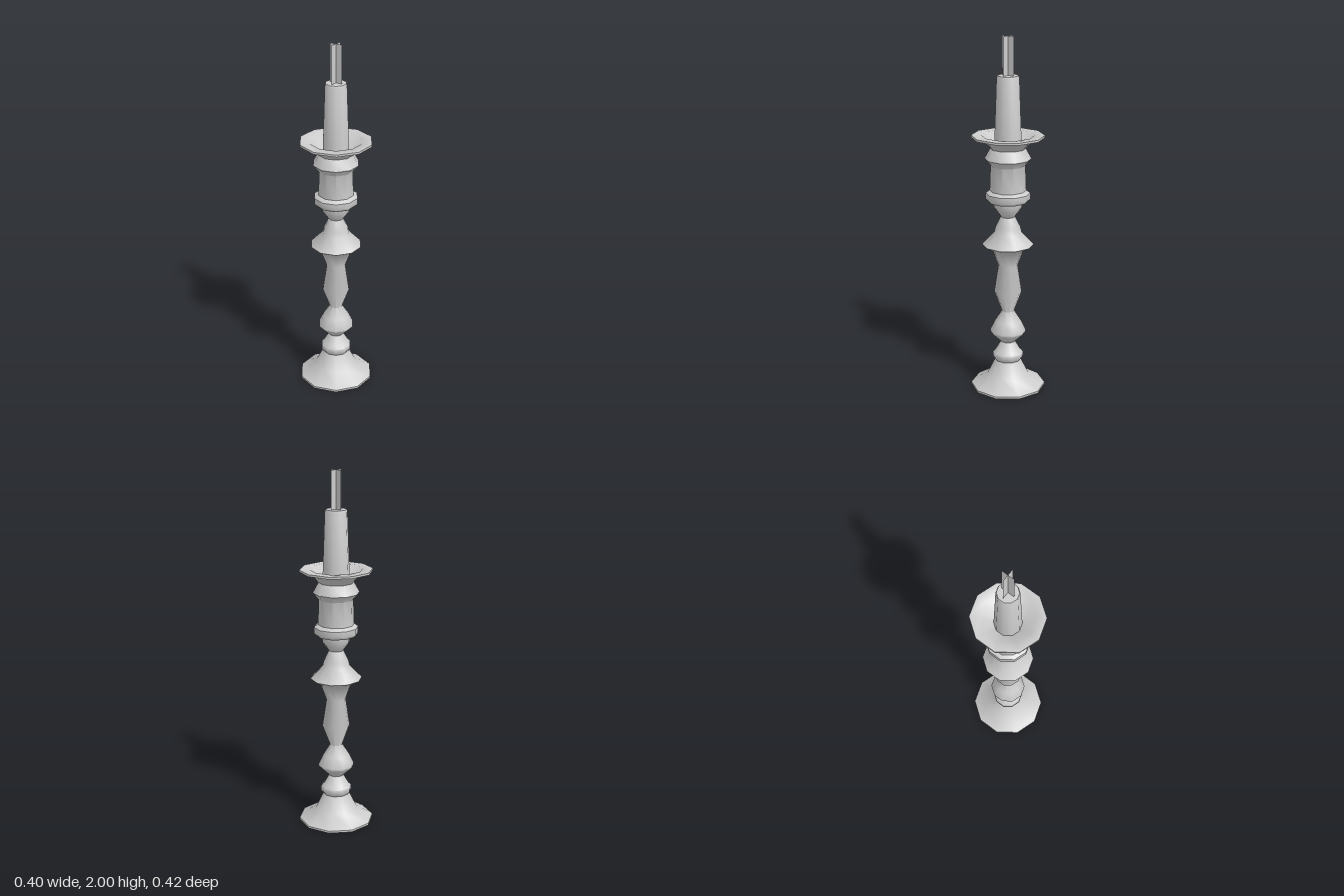
import * as THREE from 'three';
import { toCreasedNormals } from 'three/addons/utils/BufferGeometryUtils.js';

const SIDES = 10;
const material = new THREE.MeshStandardMaterial({ color: 0xcccccc });
const wickMaterial = new THREE.MeshStandardMaterial({ color: 0xcccccc, side: THREE.DoubleSide });

// Ten-sided turned part from [radius, height] pairs, listed from bottom to top
function turned(name, profile) {
  const points = profile.map(([r, y]) => new THREE.Vector2(r, y));
  const geometry = toCreasedNormals(new THREE.LatheGeometry(points, SIDES), 0.9);
  const mesh = new THREE.Mesh(geometry, material);
  mesh.name = name;
  return mesh;
}

export function createModel() {
  const group = new THREE.Group();
  group.name = 'candlestick';

  // Flared foot with a ringed neck
  group.add(turned('foot', [
    [0, 0], [0.21, 0], [0.21, 0.012], [0.117, 0.07], [0.073, 0.16],
    [0.086, 0.177], [0.086, 0.202], [0.072, 0.215], [0.04, 0.27],
  ]));

  // Lower bulb, long baluster and upper knop
  group.add(turned('stem', [
    [0.04, 0.27], [0.1, 0.328], [0.1, 0.34], [0.073, 0.395], [0.035, 0.455],
    [0.077, 0.57], [0.054, 0.725], [0.088, 0.817], [0.143, 0.85],
    [0.076, 0.92], [0.069, 0.95], [0.04, 1.01], [0.076, 1.06], [0.076, 1.097],
  ]));

  // Candle socket with lower collar, shoulder and a hollow drip dish
  group.add(turned('socketAndDish', [
    [0.076, 1.097], [0.11, 1.097], [0.122, 1.11], [0.122, 1.145], [0.1, 1.16],
    [0.095, 1.3], [0.128, 1.338], [0.097, 1.395], [0.148, 1.455],
    [0.2, 1.455], [0.2, 1.467], [0.145, 1.467], [0.078, 1.39], [0, 1.385],
  ]));

  // Tapered candle
  group.add(turned('candle', [
    [0.075, 1.385], [0.061, 1.78], [0.057, 1.79], [0, 1.79],
  ]));

  // Wick of two crossed upright cards
  const wick = new THREE.Group();
  wick.name = 'wick';
  for (let i = 0; i < 2; i++) {
    const card = new THREE.Mesh(new THREE.PlaneGeometry(0.076, 0.21), wickMaterial);
    card.name = 'wickCard';
    card.position.y = 1.895;
    card.rotation.y = i * Math.PI / 2;
    wick.add(card);
  }
  group.add(wick);

  return group;
}
